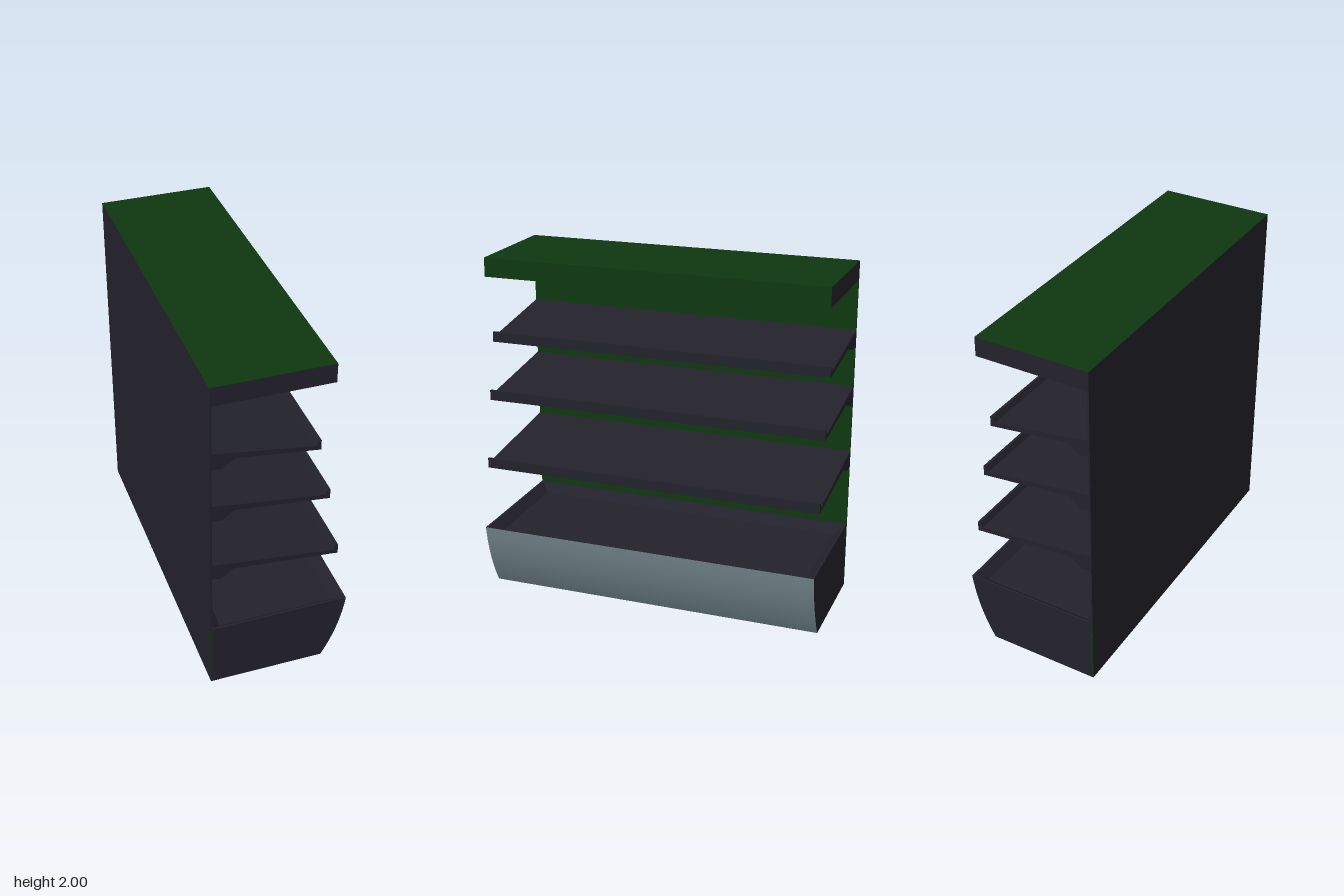
import * as THREE from 'three';

export function createModel() {
  const model = new THREE.Group();
  const material = (name, color, side = THREE.FrontSide) => {
    const m = new THREE.MeshStandardMaterial({ color, side });
    m.name = name;
    return m;
  };
  const dark = material('charcoal', 0x23222c, THREE.DoubleSide);
  const green = material('dark green', 0x0e3810);
  const grey = material('blue grey', 0x73878d, THREE.DoubleSide);

  const add = (name, geometry, mat) => {
    const mesh = new THREE.Mesh(geometry, mat);
    mesh.name = name;
    model.add(mesh);
    return mesh;
  };

  // Box given by its limits; materials in order +x, -x, +y, -y, +z, -z
  const block = (name, x0, x1, y0, y1, mats) => {
    const mesh = add(name, new THREE.BoxGeometry(x1 - x0, y1 - y0, 2), mats);
    mesh.position.set((x0 + x1) / 2, (y0 + y1) / 2, 0);
  };

  const BACK = -0.397, INNER = -0.387, FRONT = 0.397, RIM = 0.4;

  // Back panel, with green ends beside the base
  block('backPanel', BACK, INNER, RIM, 1.89, [green, dark, dark, dark, dark, dark]);
  block('lowerBackPanel', BACK, INNER, 0, RIM, [green, dark, dark, dark, green, green]);

  // Canopy
  block('canopy', BACK, 0.262, 1.89, 2, [green, dark, green, green, dark, dark]);

  // Sloping shelves with a raised lip and a rear bracket
  const shelf = (name, top, tip) => {
    const points = [
      [INNER, 0], [INNER, -0.095], [-0.335, -0.104], [-0.268, -0.052],
      [tip - 0.03, -0.107], [tip, -0.111], [tip, -0.052], [tip - 0.014, -0.052],
      [tip - 0.03, -0.082],
    ].map(([x, y]) => new THREE.Vector2(x, top + y));
    const geometry = new THREE.ExtrudeGeometry(new THREE.Shape(points), { depth: 2, bevelEnabled: false });
    add(name, geometry.translate(0, 0, -1), dark);
  };
  shelf('upperShelf', 1.602, 0.197);
  shelf('middleShelf', 1.267, 0.262);
  shelf('lowerShelf', 0.867, 0.327);

  // Base ends with a bowed front edge
  const bow = new THREE.QuadraticBezierCurve(
    new THREE.Vector2(0.262, 0), new THREE.Vector2(0.368, 0.18), new THREE.Vector2(FRONT, RIM)
  ).getPoints(10);
  const outline = [new THREE.Vector2(INNER, RIM), new THREE.Vector2(INNER, 0), ...bow];
  for (const side of [1, -1]) {
    const end = add('baseEnd', new THREE.ShapeGeometry(new THREE.Shape(outline)), dark);
    if (side < 0) end.geometry.scale(1, 1, -1).index.array.reverse();
    end.geometry.computeVertexNormals();
    end.position.z = side;
  }

  // Surface swept along z from an open profile
  const ribbon = (name, points, mat) => {
    const pos = [], idx = [];
    points.forEach((p, i) => {
      pos.push(p.x, p.y, 1, p.x, p.y, -1);
      const a = 2 * i;
      if (i < points.length - 1) idx.push(a, a + 1, a + 2, a + 1, a + 3, a + 2);
    });
    const g = new THREE.BufferGeometry();
    g.setAttribute('position', new THREE.Float32BufferAttribute(pos, 3));
    g.setIndex(idx);
    g.computeVertexNormals();
    add(name, g, mat);
  };
  ribbon('baseFront', bow, grey);
  ribbon('baseBottom', [new THREE.Vector2(INNER, 0), bow[0]], dark);

  // Shallow tray in the base: rim, sloping walls and floor from nested rectangles
  const loops = [[0, RIM], [0.012, RIM], [0.065, 0.35]].map(([inset, y]) => {
    const x0 = INNER + inset, x1 = FRONT - inset, z = 1 - inset;
    return [[x0, y, z], [x1, y, z], [x1, y, -z], [x0, y, -z]];
  });
  const tray = [];
  const quad = (a, b, c, d) => tray.push(...a, ...b, ...c, ...a, ...c, ...d);
  for (let k = 0; k < 2; k++) {
    for (let i = 0; i < 4; i++) {
      const j = (i + 1) % 4;
      quad(loops[k][i], loops[k][j], loops[k + 1][j], loops[k + 1][i]);
    }
  }
  quad(...loops[2]);
  const trayGeometry = new THREE.BufferGeometry();
  trayGeometry.setAttribute('position', new THREE.Float32BufferAttribute(tray, 3));
  trayGeometry.computeVertexNormals();
  add('baseTray', trayGeometry, dark);

  return model;
}
